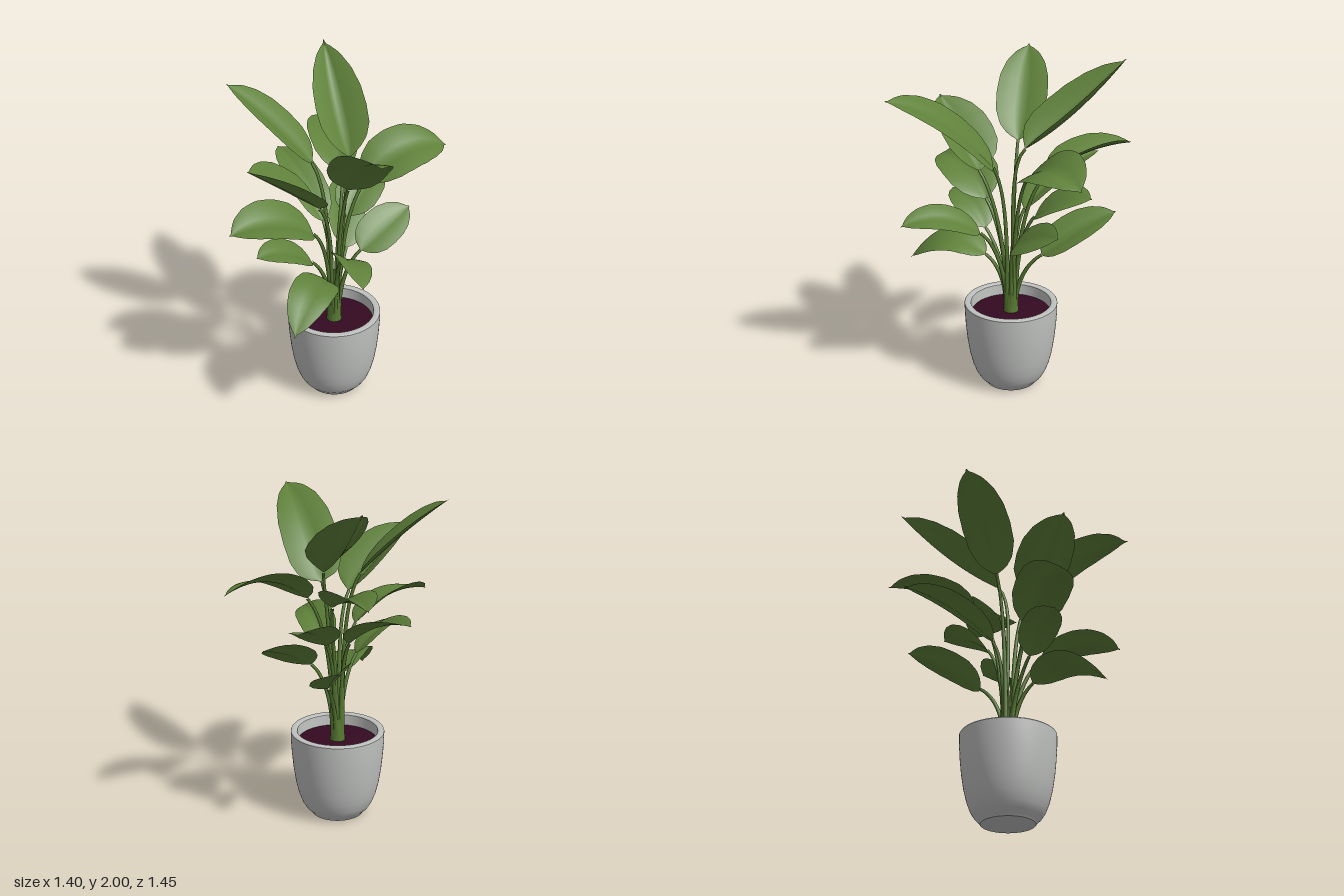
import * as THREE from 'three';

const CX = -0.03, CZ = -0.02; // pot axis
const V = (x, y, z) => new THREE.Vector3(x, y, z);

const mat = (name, color, side = THREE.FrontSide) => {
  const m = new THREE.MeshStandardMaterial({ color, side });
  m.name = name;
  return m;
};

// Leaves: base, tip, half width, midrib arch height, roll about the midrib,
// fold angle of each half, skew (below 1 puts the widest point nearer the stalk)
const LEAVES = [
  { base: [0.17, 1.38, -0.03], tip: [0.70, 1.48, -0.10], w: 0.175, arch: 0.09, roll: 0.38 },
  { base: [0.09, 1.36, -0.20], tip: [0.13, 1.49, -0.72], w: 0.165, arch: 0.04, roll: -0.1, fold: 0.6 },
  { base: [0.08, 1.53, -0.06], tip: [0.14, 2.00, -0.66], w: 0.205, arch: -0.05, roll: 0, fold: 0.75 },
  { base: [-0.06, 1.10, -0.12], tip: [-0.16, 1.35, -0.66], w: 0.13, arch: 0.05, roll: 0, fold: 0.5 },
  { base: [0.12, 0.95, 0.03], tip: [0.47, 1.12, -0.08], w: 0.13, arch: 0.02, roll: 0.55 },
  { base: [0.10, 0.86, -0.16], tip: [0.22, 1.11, -0.58], w: 0.14, arch: 0.02, roll: 0.38, fold: 0.45 },
  { base: [0.09, 1.11, -0.12], tip: [0.37, 1.28, -0.34], w: 0.14, arch: 0.04, roll: 0.3 },
  { base: [0.01, 1.42, 0.11], tip: [-0.04, 1.88, 0.73], w: 0.17, arch: 0.08, roll: -0.35, skew: 0.75 },
  { base: [-0.05, 1.00, 0.17], tip: [-0.10, 1.10, 0.64], w: 0.115, arch: 0.07, roll: -0.4 },
  { base: [-0.11, 0.83, 0.11], tip: [-0.44, 0.74, 0.46], w: 0.13, arch: 0.11, roll: -0.25, fold: 0.2 },
  { base: [-0.19, 1.15, 0.07], tip: [-0.70, 1.28, 0.14], w: 0.175, arch: 0.07, roll: -0.3, fold: 0.4 },
  { base: [-0.17, 1.34, 0.12], tip: [-0.60, 1.69, 0.19], w: 0.21, arch: 0, roll: 0, fold: 0.62 },
  { base: [-0.20, 0.96, 0.07], tip: [-0.55, 1.10, 0.14], w: 0.115, arch: 0.05, roll: -0.25 },
  { base: [-0.13, 1.51, -0.11], tip: [-0.54, 1.95, -0.37], w: 0.165, arch: 0.02, roll: 0, fold: 0.42 },
];

// Ovate outline: half width along the midrib, 0 = stalk, 1 = pointed tip
const OUTLINE = [[0, 0.04], [0.04, 0.42], [0.12, 0.74], [0.25, 0.95], [0.42, 1],
  [0.6, 0.95], [0.76, 0.76], [0.88, 0.48], [0.94, 0.24], [0.97, 0.07], [1, 0.015]];
function outline(t) {
  let i = 1;
  while (i < OUTLINE.length - 1 && OUTLINE[i][0] < t) i++;
  const [a, wa] = OUTLINE[i - 1], [b, wb] = OUTLINE[i];
  return wa + (wb - wa) * (t - a) / (b - a);
}

// Blade swept along the midrib, folded up along it, with drooping edges
function bladeGeometry(rib, { w, roll, fold = 0.3, skew = 1 }) {
  const NU = 36, NV = 8, pos = [], idx = [];
  for (let i = 0; i <= NU; i++) {
    const t = i / NU, p = rib.getPoint(t), tan = rib.getTangent(t);
    const side = tan.clone().cross(V(0, 1, 0)).normalize().applyAxisAngle(tan, roll);
    const up = side.clone().cross(tan);
    const half = w * outline(t ** skew);
    for (let j = 0; j <= NV; j++) {
      const s = j / NV * 2 - 1;
      const lift = half * (Math.sin(fold) * Math.abs(s) - 0.15 * s * s);
      const q = p.clone().addScaledVector(side, s * half * Math.cos(fold)).addScaledVector(up, lift);
      pos.push(q.x, q.y, q.z);
      if (i < NU && j < NV) {
        const a = i * (NV + 1) + j, b = a + NV + 1;
        idx.push(a, a + 1, b, a + 1, b + 1, b);
      }
    }
  }
  const g = new THREE.BufferGeometry();
  g.setAttribute('position', new THREE.Float32BufferAttribute(pos, 3));
  g.setIndex(idx);
  g.computeVertexNormals();
  return g;
}

// Tube whose rings shrink from r0 to r1
function taperedTube(curve, r0, r1, segs = 20, sides = 8) {
  const g = new THREE.TubeGeometry(curve, segs, r0, sides);
  const p = g.attributes.position, v = V(0, 0, 0);
  for (let i = 0; i < p.count; i++) {
    const t = Math.floor(i / (sides + 1)) / segs;
    const c = curve.getPointAt(t);
    v.fromBufferAttribute(p, i).sub(c).multiplyScalar(1 + (r1 / r0 - 1) * t).add(c);
    p.setXYZ(i, v.x, v.y, v.z);
  }
  return g;
}

export function createModel() {
  const model = new THREE.Group();
  model.name = 'pottedPlant';
  const leafMat = mat('leaf green', 0x60823b, THREE.DoubleSide);
  const stemMat = mat('stem green', 0x587a33);
  const potMat = mat('pot grey', 0xc0c2c0);
  const soilMat = mat('soil maroon', 0x340a22);

  const add = (name, geo, material, parent = model) => {
    const m = new THREE.Mesh(geo, material);
    m.name = name;
    parent.add(m);
    return m;
  };

  // Pot: separate turned surfaces keep the rim edges crisp
  const pot = new THREE.Group();
  pot.name = 'pot';
  pot.position.set(CX, 0, CZ);
  model.add(pot);
  const turned = (name, pts, material = potMat) =>
    add(name, new THREE.LatheGeometry(pts.map(([r, y]) => new THREE.Vector2(r, y)), 64), material, pot);
  turned('potBase', [[0, 0], [0.155, 0]]);
  turned('potWall', [[0.155, 0], [0.165, 0.015], [0.19, 0.04], [0.212, 0.075], [0.233, 0.13],
    [0.25, 0.2], [0.264, 0.29], [0.273, 0.38], [0.278, 0.46], [0.279, 0.525]]);
  turned('potRim', [[0.279, 0.525], [0.275, 0.531], [0.245, 0.531], [0.24, 0.525]]);
  turned('potInside', [[0.24, 0.525], [0.235, 0.44]]);
  turned('soil', [[0.237, 0.46], [0.12, 0.466], [0, 0.47]], soilMat);

  // Crown where the stalks emerge
  const crown = add('crown', new THREE.CylinderGeometry(0.038, 0.046, 0.16, 14), stemMat);
  crown.position.set(CX, 0.54, CZ);

  LEAVES.forEach((leaf, i) => {
    const g = new THREE.Group();
    g.name = 'leaf' + (i + 1);
    model.add(g);
    const base = V(...leaf.base), tip = V(...leaf.tip);
    const ctrl = base.clone().lerp(tip, 0.48);
    ctrl.y += leaf.arch * 2;
    const rib = new THREE.QuadraticBezierCurve3(base, ctrl, tip);

    // Stalk rises near the axis, then bends out into the midrib
    const out = V(base.x - CX, 0, base.z - CZ), dir = out.clone().normalize();
    const start = V(CX + dir.x * 0.028, 0.5, CZ + dir.z * 0.028);
    const rise = base.y - 0.5;
    const c1 = V(start.x, 0.5 + rise * 0.45, start.z);
    const c2 = base.clone().addScaledVector(rib.getTangent(0), -rise * 0.22);
    c2.x = THREE.MathUtils.lerp(c2.x, CX + out.x * 0.5, 0.6);
    c2.z = THREE.MathUtils.lerp(c2.z, CZ + out.z * 0.5, 0.6);
    const stalk = new THREE.CubicBezierCurve3(start, c1, c2, base);
    add('stalk', taperedTube(stalk, 0.016, 0.009), stemMat, g);
    add('blade', bladeGeometry(rib, leaf), leafMat, g);
  });
  return model;
}
